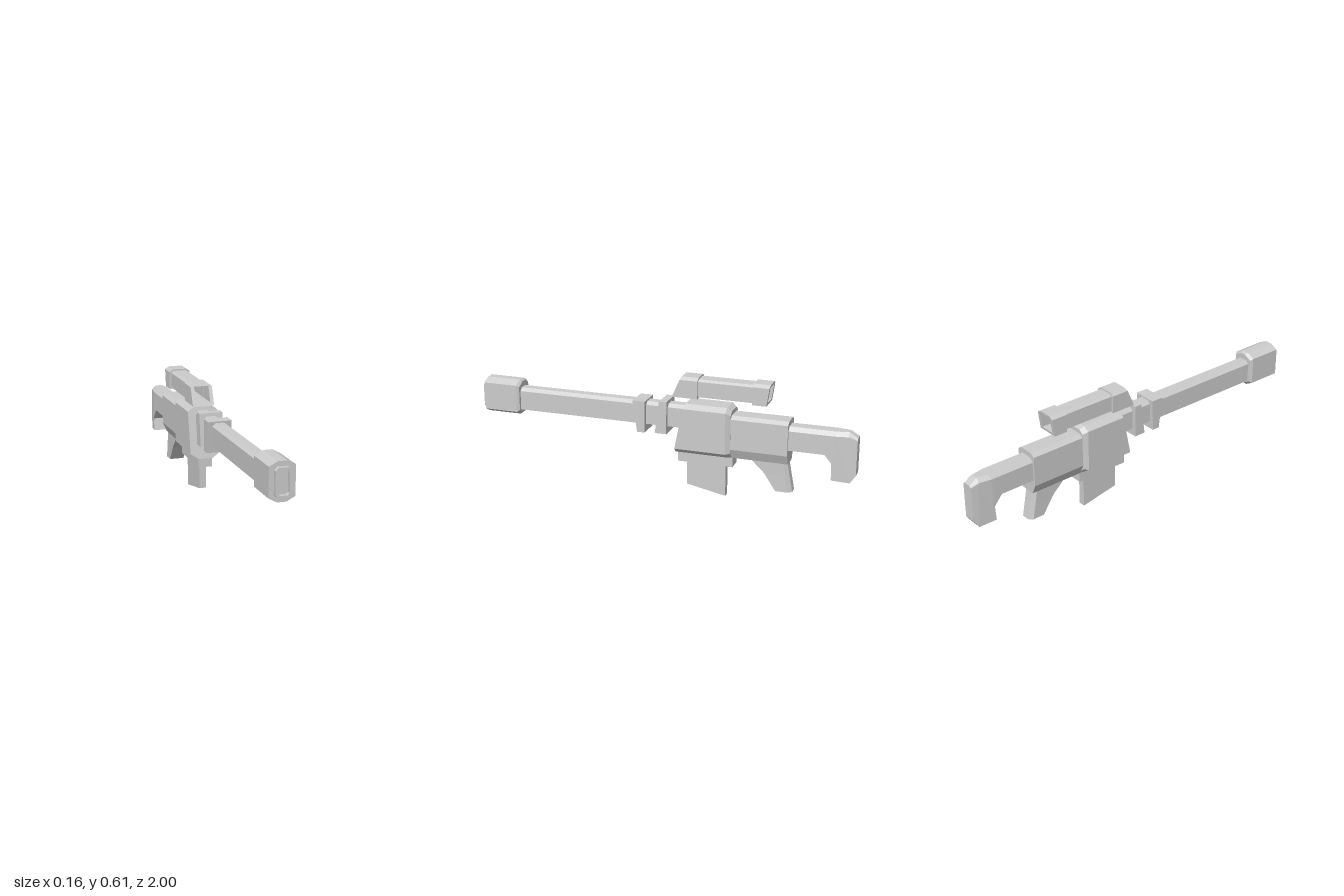
import * as THREE from 'three';

const material = new THREE.MeshStandardMaterial({ color: 0xcccccc, flatShading: true });

// Skin a list of rings (counterclockwise seen from the first end) and cap both ends.
function loft(rings) {
  const n = rings[0].length, index = [];
  for (let i = 0; i < rings.length - 1; i++) {
    for (let j = 0; j < n; j++) {
      const a = i * n + j, b = i * n + (j + 1) % n;
      index.push(a, a + n, b, b, a + n, b + n);
    }
  }
  const last = (rings.length - 1) * n;
  for (let j = 1; j < n - 1; j++) {
    index.push(0, j, j + 1, last, last + j + 1, last + j);
  }
  const indexed = new THREE.BufferGeometry();
  indexed.setAttribute('position', new THREE.Float32BufferAttribute(rings.flat(2), 3));
  indexed.setIndex(index);
  const geometry = indexed.toNonIndexed();
  geometry.computeVertexNormals();
  return geometry;
}

// Upright section with chamfered corners; zt and zb let it lean along z.
function section(zt, zb, yb, yt, w, top = [0, 0], bottom = [0, 0]) {
  const half = [
    [w - bottom[0], yb], [w, yb + bottom[1]], [w, yt - top[1]], [w - top[0], yt],
  ];
  const outline = [...half, ...half.map(([x, y]) => [-x, y]).reverse()];
  return outline.map(([x, y]) => [x, y, zb + (zt - zb) * (y - yb) / (yt - yb)]);
}

// Hollow frame along z; the front and back faces may lean.
function frame(outer, inner, zFront, zBack, lean) {
  const toPoints = (list) => list.map(([x, y]) => new THREE.Vector2(x, y));
  const shape = new THREE.Shape(toPoints(outer));
  shape.holes.push(new THREE.Path(toPoints(inner)));
  const geometry = new THREE.ExtrudeGeometry(shape, { depth: 1, bevelEnabled: false });
  const p = geometry.attributes.position;
  for (let i = 0; i < p.count; i++) {
    const [f, b] = lean ? lean(p.getY(i)) : [0, 0];
    p.setZ(i, p.getZ(i) > 0.5 ? zFront + f : zBack + b);
  }
  geometry.computeVertexNormals();
  return geometry;
}

const rect = (w, yb, yt) => [[-w, yb], [w, yb], [w, yt], [-w, yt]];
const roofed = (w, yb, yt, cx, cy) =>
  [[-w, yb], [w, yb], [w, yt - cy], [w - cx, yt], [-w + cx, yt], [-w, yt - cy]];
const octagon = (w, yb, yt, c) => section(0, 0, yb, yt, w, [c, c], [c, c]).map(([x, y]) => [x, y]);

export function createModel() {
  const model = new THREE.Group();
  const add = (name, geometry, parent = model) => {
    const mesh = new THREE.Mesh(geometry, material);
    mesh.name = name;
    parent.add(mesh);
    return mesh;
  };

  // Barrel, muzzle and its recessed tip
  const roof = [0.018, 0.016];
  add('barrel', loft([
    section(0.8, 0.8, 0.348, 0.465, 0.04, roof),
    section(-0.2, -0.2, 0.348, 0.465, 0.04, roof),
  ]));
  const cut = [0.041, 0.022];
  add('muzzle', loft([
    section(0.98, 0.98, 0.317, 0.505, 0.063, cut, cut),
    section(0.798, 0.798, 0.317, 0.505, 0.063, cut, cut),
    section(0.785, 0.785, 0.327, 0.495, 0.055, cut, cut),
  ]));
  add('muzzleTip', frame(octagon(0.039, 0.34, 0.48, 0.014), octagon(0.027, 0.352, 0.468, 0.009), 1, 0.97));

  // Two wedge bands round the barrel
  add('frontBand', loft([
    section(0.147, 0.123, 0.307, 0.473, 0.062),
    section(0.08, 0.083, 0.307, 0.473, 0.062),
  ]));
  add('rearBand', loft([
    section(0.005, 0.027, 0.312, 0.482, 0.062),
    section(-0.035, -0.035, 0.312, 0.482, 0.062),
  ]));

  // Receiver with a sloping front and tapered rear edge
  const shoulder = [0.031, 0.021], keel = [0.043, 0.03];
  add('receiver', loft([
    section(-0.132, -0.078, 0.217, 0.483, 0.081, shoulder, keel),
    section(-0.35, -0.35, 0.217, 0.483, 0.081, shoulder, keel),
    section(-0.372, -0.372, 0.22, 0.465, 0.064, [0.024, 0.018], [0.026, 0.03]),
  ]));

  // Body behind the receiver
  const bodyTop = [0.022, 0.016], bodyBottom = [0.022, 0.05];
  add('body', loft([-0.34, -0.663].map((z) => section(z, z, 0.22, 0.444, 0.062, bodyTop, bodyBottom))));

  // Grip: level, front edge, back edge, half width
  const gripLevels = [
    [0.26, -0.46, -0.662, 0.046], [0.22, -0.48, -0.658, 0.04], [0.16, -0.543, -0.669, 0.039],
    [0.07, -0.603, -0.686, 0.039],
  ];
  add('grip', loft(gripLevels.map(([y, front, back, w]) => [
    [-w, y, front], [w, y, front], [w, y, back + 0.02],
    [w - 0.018, y, back], [-w + 0.018, y, back], [-w, y, back + 0.02],
  ])));

  // Shoulder stock with a hooked toe
  const ridge = [0.02, 0.02];
  add('stock', loft([
    section(-0.65, -0.65, 0.297, 0.417, 0.05, ridge),
    section(-0.845, -0.845, 0.297, 0.417, 0.05, ridge),
    section(-0.87, -0.897, 0.235, 0.417, 0.05, ridge),
    section(-0.9, -0.882, 0.168, 0.417, 0.049, ridge),
    section(-0.957, -0.973, 0.16, 0.417, 0.038, ridge),
    section(-1, -1, 0.2, 0.39, 0.03, [0.008, 0.01]),
  ]));

  // Magazine and its collar
  add('magazineCollar', loft([-0.09, -0.378].map((z) => section(z, z, 0.168, 0.23, 0.037))));
  add('magazine', loft([
    section(-0.133, -0.133, 0.04, 0.2, 0.018),
    section(-0.338, -0.338, 0.0, 0.2, 0.018),
  ]));

  // Hollow scope, set slightly to the right
  const scope = new THREE.Group();
  scope.name = 'scope';
  scope.position.x = -0.019;
  const hood = roofed(0.057, 0.507, 0.613, 0.019, 0.014), bore = rect(0.0385, 0.52, 0.6);
  const rise = (y) => (y - 0.507) / 0.106;
  add('scopeTube', frame(roofed(0.047, 0.515, 0.605, 0.013, 0.01), rect(0.038, 0.521, 0.599), -0.17, -0.49), scope);
  add('scopeFrontHood', frame(hood, bore, -0.056, -0.19, (y) => [-0.046 * rise(y), 0]), scope);
  add('scopeRearHood', frame(hood, bore, -0.473, -0.545, (y) => [0, -0.015 * rise(y)]), scope);
  model.add(scope);

  return model;
}
